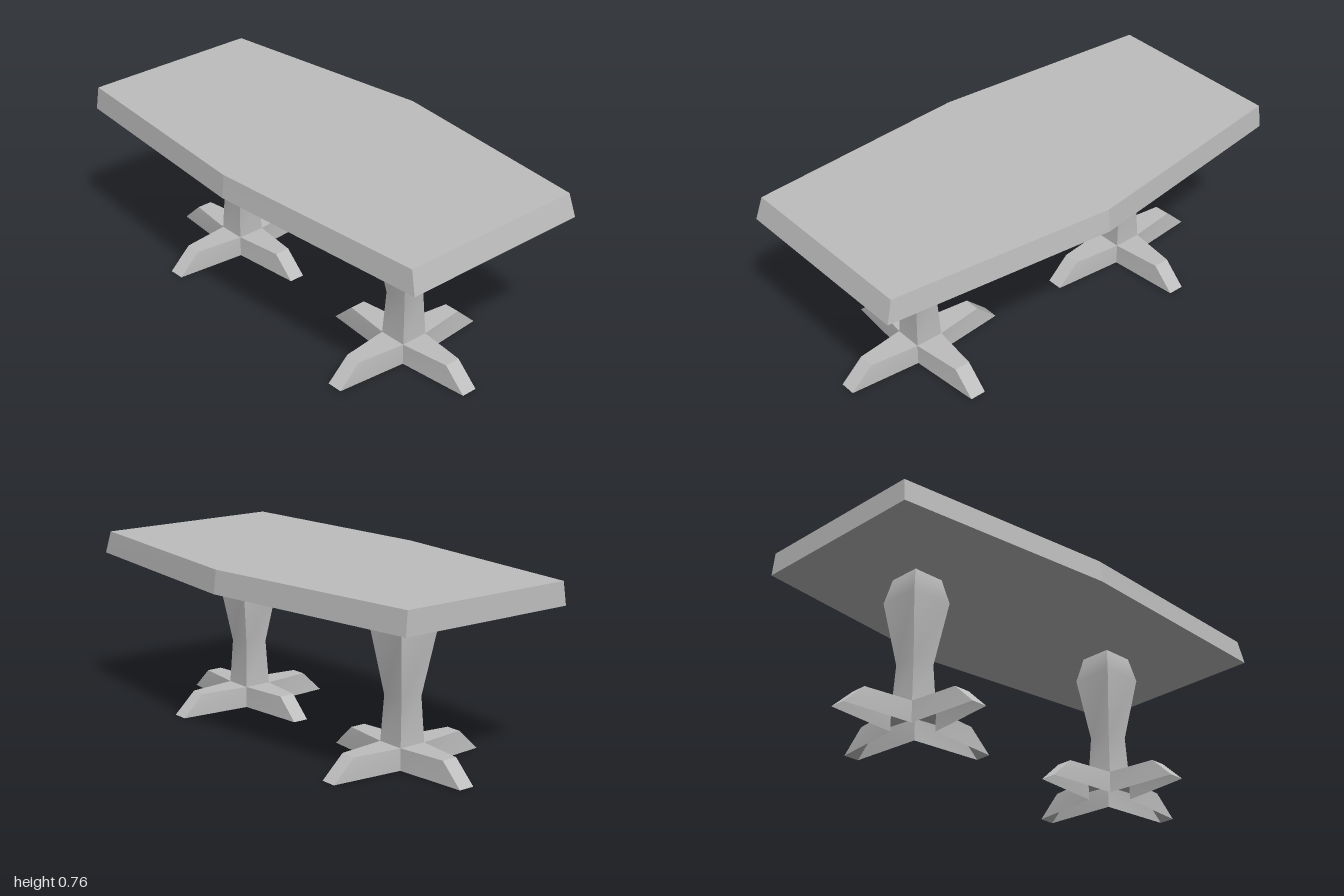
import * as THREE from 'three';

// Skin closed rings of [x, y, z] points (counter-clockwise from above), lowest first.
// Each side is its own strip: smooth along its height, sharp at the corners.
function loft(rings, { top = true, bottom = true } = {}) {
  const pos = [], index = [];
  const put = (...pts) => {
    const start = pos.length / 3;
    pts.forEach((p) => pos.push(...p));
    return start;
  };
  const centre = (ring) => [0, 1, 2].map((k) => ring.reduce((s, p) => s + p[k], 0) / ring.length);
  const n = rings[0].length;
  for (let j = 0; j < n; j++) {
    const s = put(...rings.flatMap((ring) => [ring[j], ring[(j + 1) % n]]));
    for (let i = 0; i < rings.length - 1; i++) {
      const a = s + 2 * i;
      index.push(a, a + 1, a + 3, a, a + 3, a + 2);
    }
  }
  const cap = (ring, up) => {
    const c = put(centre(ring), ...ring);
    for (let j = 0; j < n; j++) {
      const a = c + 1 + j, b = c + 1 + ((j + 1) % n);
      index.push(c, up ? a : b, up ? b : a);
    }
  };
  if (top) cap(rings[rings.length - 1], true);
  if (bottom) cap(rings[0], false);
  const geo = new THREE.BufferGeometry();
  geo.setAttribute('position', new THREE.Float32BufferAttribute(pos, 3));
  geo.setIndex(index);
  geo.computeVertexNormals();
  return geo;
}

const squareRing = (y, h) => [[h, y, h], [h, y, -h], [-h, y, -h], [-h, y, h]];

// Outline of four arms that narrow from the hub to their ends
function crossRing(y, reach, hub = 0.062, end = 0.035) {
  const ring = [];
  for (let k = 0; k < 4; k++) {
    for (let [x, z] of [[reach, end], [reach, -end], [hub, -hub]]) {
      for (let r = 0; r < k; r++) [x, z] = [z, -x];
      ring.push([x, y, z]);
    }
  }
  return ring;
}

export function createModel() {
  const group = new THREE.Group();
  group.name = 'table';
  // Double sided because the feet are open underneath
  const grey = new THREE.MeshStandardMaterial({ color: 0xbe_be_be, side: THREE.DoubleSide });
  grey.name = 'plain grey';

  const add = (parent, name, geo) => {
    const mesh = new THREE.Mesh(geo, grey);
    mesh.name = name;
    parent.add(mesh);
  };

  // Six-sided top, slightly irregular, with bevelled edges
  const outline = (y, pts) => pts.map(([x, z]) => [x, y, z]);
  add(group, 'tableTop', loft([
    outline(0.667, [[1, 0.45], [1, -0.41], [0, -0.518], [-1, -0.383], [-1, 0.433], [-0.015, 0.518]]),
    outline(0.765, [[0.972, 0.439], [0.972, -0.399], [0, -0.506], [-0.995, -0.372], [-0.995, 0.421], [-0.015, 0.506]]),
  ]));

  // Two pedestals: a square baluster column on a cross-shaped foot, hollow below
  const profile = [[0.093, 0.062], [0.285, 0.052], [0.56, 0.094], [0.667, 0.07]];
  for (const [side, x, z] of [['left', 0.533, 0.036], ['right', -0.554, -0.002]]) {
    const pedestal = new THREE.Group();
    pedestal.name = side + 'Pedestal';
    pedestal.position.set(x, 0, z);
    add(pedestal, 'column', loft(profile.map(([y, h]) => squareRing(y, h)), { top: false, bottom: false }));
    add(pedestal, 'crossFoot', loft([crossRing(0, 0.376), crossRing(0.093, 0.277)], { bottom: false }));
    group.add(pedestal);
  }
  return group;
}
